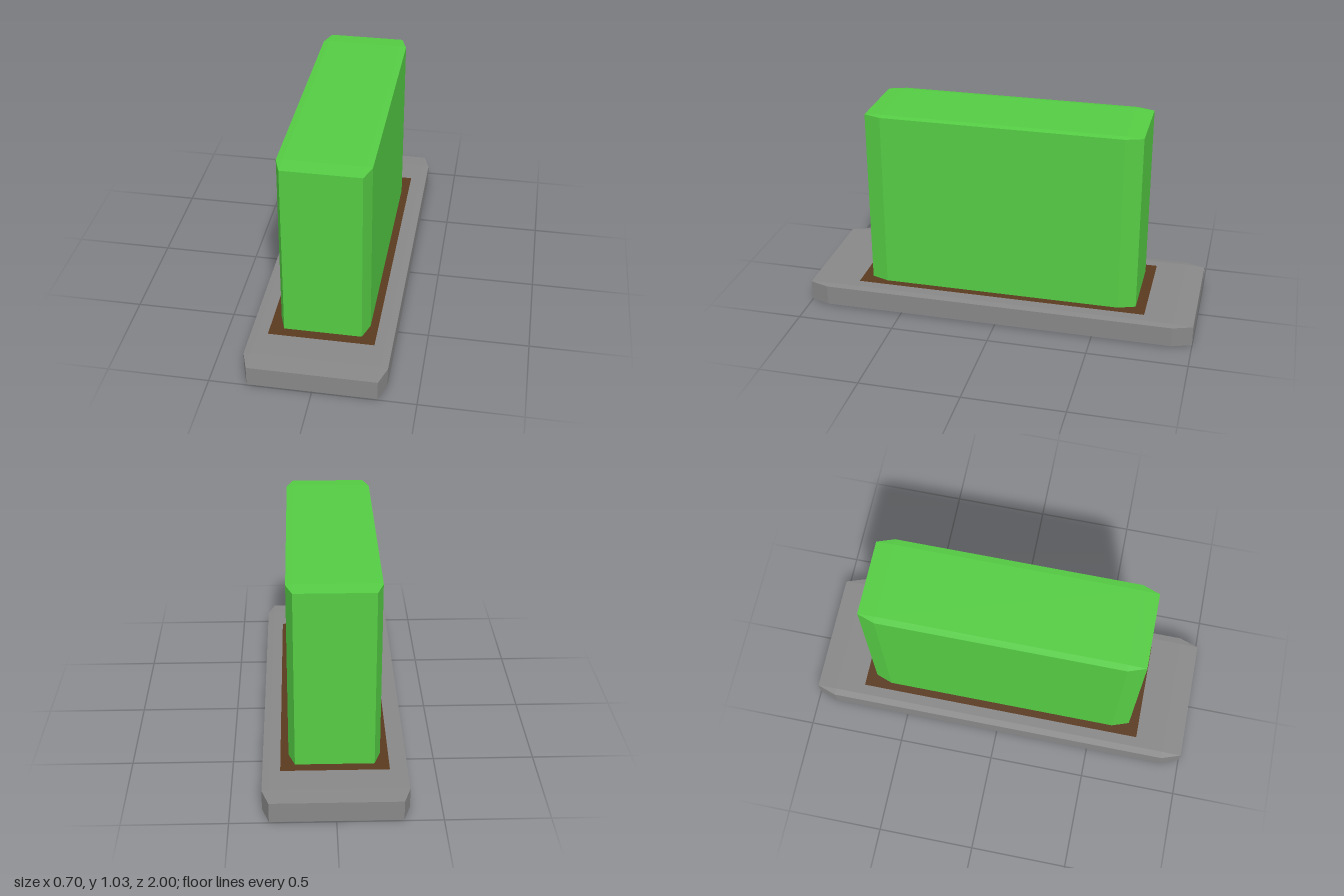
import * as THREE from 'three';
import { ConvexGeometry } from 'three/addons/geometries/ConvexGeometry.js';

// Box with bevelled edges: half sizes x, z; inner half sizes ix, iz; bevel heights at bottom and top
function bevelledBlock(x, z, ix, iz, y0, y1, bottomBevel, topBevel) {
  const points = [];
  for (const sx of [-1, 1]) for (const sz of [-1, 1]) {
    for (const [y, bevel] of [[y0, bottomBevel], [y1, -topBevel]]) {
      points.push(new THREE.Vector3(sx * x, y + bevel, sz * iz));
      points.push(new THREE.Vector3(sx * ix, y + bevel, sz * z));
      if (bevel) points.push(new THREE.Vector3(sx * ix, y, sz * iz));
    }
  }
  return new ConvexGeometry(points);
}

export function createModel() {
  const group = new THREE.Group();
  const add = (name, geometry, color) => {
    const material = new THREE.MeshStandardMaterial({ color, flatShading: true });
    const mesh = new THREE.Mesh(geometry, material);
    mesh.name = name;
    group.add(mesh);
    return mesh;
  };

  // Stone kerb slab
  add('base', bevelledBlock(0.348, 1, 0.314, 0.9, 0, 0.113, 0.005, 0.005), 0x888888);

  // Flat bed of soil lying on the slab
  const soil = add('soil', new THREE.PlaneGeometry(0.524, 1.5), 0x5a3a20);
  soil.rotation.x = -Math.PI / 2;
  soil.position.y = 0.1145;

  // Clipped hedge with chamfered corners
  add('hedge', bevelledBlock(0.223, 0.698, 0.192, 0.61, 0.11, 1.035, 0, 0.005), 0x55cc44);

  return group;
}
